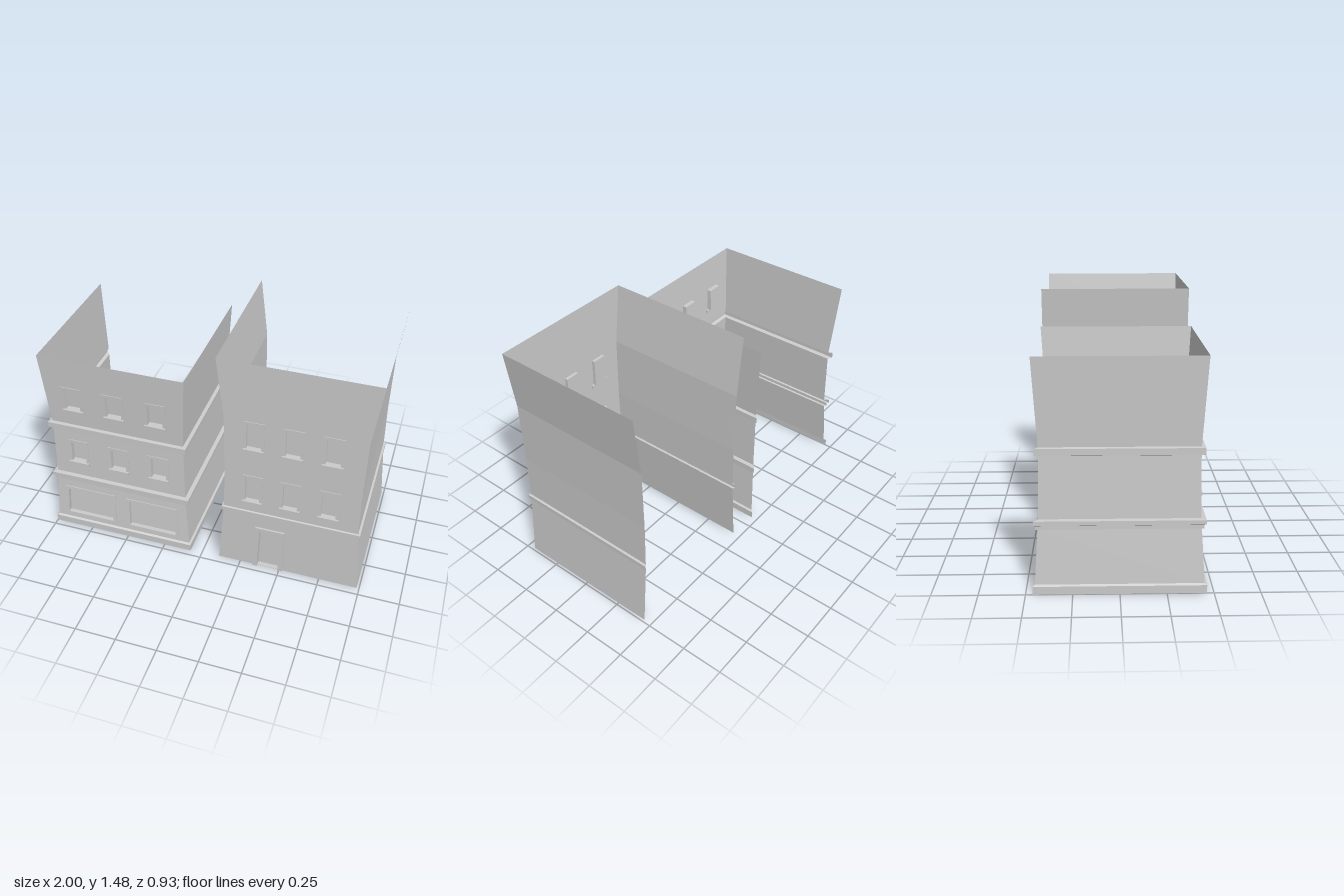
import * as THREE from 'three';

const material = new THREE.MeshStandardMaterial({ color: 0xcccccc, side: THREE.DoubleSide, flatShading: true });

// Straight-line lookup of [halfWidth, halfDepth] in a profile of [y, halfWidth, halfDepth]
function sizeAt(profile, y) {
  let i = 0;
  while (i < profile.length - 2 && y > profile[i + 1][0]) i++;
  const [a, b] = [profile[i], profile[i + 1]];
  const t = (y - a[0]) / (b[0] - a[0]);
  return [a[1] + (b[1] - a[1]) * t, a[2] + (b[2] - a[2]) * t];
}

function polygon(points, Type = THREE.Shape) {
  const p = new Type(points.map(([x, y]) => new THREE.Vector2(x, y)));
  p.closePath();
  return p;
}

const rect = (x0, x1, y0, y1) => [[x0, y0], [x1, y0], [x1, y1], [x0, y1]];

function addMesh(group, name, geometry) {
  const flat = geometry.index ? geometry.toNonIndexed() : geometry;
  flat.computeVertexNormals();
  const mesh = new THREE.Mesh(flat, material);
  mesh.name = name;
  group.add(mesh);
}

// Lean a flat part against the curved front wall
function lean(geometry, profile, yMid) {
  const p = geometry.attributes.position;
  const ref = sizeAt(profile, yMid)[0];
  for (let i = 0; i < p.count; i++) {
    const [w, d] = sizeAt(profile, p.getY(i));
    p.setX(i, p.getX(i) * w / ref);
    p.setZ(i, p.getZ(i) + d);
  }
  return geometry;
}

// Front wall tier by tier with cut openings, plus the two side walls
function addWalls(group, profile, openings) {
  for (let i = 0; i < profile.length - 1; i++) {
    const [y0, w0, d0] = profile[i], [y1, w1, d1] = profile[i + 1];
    const shape = polygon([[-w0, y0], [w0, y0], [w1, y1], [-w1, y1]]);
    for (const o of openings.filter(o => o.y0 >= y0 && o.y1 <= y1)) {
      const ref = sizeAt(profile, (o.y0 + o.y1) / 2)[0];
      const points = rect(o.x0, o.x1, o.y0, o.y1).map(([x, y]) => [x * sizeAt(profile, y)[0] / ref, y]);
      shape.holes.push(polygon(points, THREE.Path));
    }
    const front = new THREE.ShapeGeometry(shape);
    const p = front.attributes.position;
    for (let k = 0; k < p.count; k++) {
      p.setZ(k, d0 + (d1 - d0) * (p.getY(k) - y0) / (y1 - y0));
    }
    addMesh(group, 'frontWall', front);
  }
  for (const side of [-1, 1]) {
    const positions = [], index = [];
    profile.forEach(([y, w, d], i) => {
      positions.push(side * w, y, d, side * w, y, -d);
      if (i === 0) return;
      const a = 2 * i - 2;
      if (side > 0) index.push(a, a + 1, a + 3, a, a + 3, a + 2);
      else index.push(a, a + 3, a + 1, a, a + 2, a + 3);
    });
    const wall = new THREE.BufferGeometry();
    wall.setAttribute('position', new THREE.Float32BufferAttribute(positions, 3));
    wall.setIndex(index);
    addMesh(group, side > 0 ? 'leftWall' : 'rightWall', wall);
  }
}

// Recess with its pane, surrounding frame and optional sill
function addOpening(group, profile, o) {
  const { name, x0, x1, y0, y1, recess, raise, border, sill, fullFrame } = o;
  const yMid = (y0 + y1) / 2, xMid = (x0 + x1) / 2;

  const box = new THREE.BoxGeometry(x1 - x0, y1 - y0, recess);
  const index = Array.from(box.index.array);
  index.splice(24, 6); // open towards the street
  box.setIndex(index);
  box.translate(xMid, yMid, -recess / 2);
  addMesh(group, name + 'Recess', lean(box, profile, yMid));

  const b = border;
  let shape;
  if (fullFrame) {
    shape = polygon(rect(x0 - b, x1 + b, y0 - b, y1 + b));
    shape.holes.push(polygon(rect(x0, x1, y0, y1), THREE.Path));
  } else {
    shape = polygon([[x0 - b, y0], [x0, y0], [x0, y1], [x1, y1], [x1, y0],
      [x1 + b, y0], [x1 + b, y1 + b], [x0 - b, y1 + b]]);
  }
  const frame = new THREE.ExtrudeGeometry(shape, { depth: raise, bevelEnabled: false });
  addMesh(group, name + 'Frame', lean(frame, profile, yMid));

  if (sill) {
    const slab = new THREE.BoxGeometry(x1 - x0 + 0.036, 0.02, 0.028);
    slab.translate(xMid, y0 - 0.01, 0.002);
    addMesh(group, name + 'Sill', lean(slab, profile, yMid));
  }
}

function building(name, x, profile, openings) {
  const group = new THREE.Group();
  group.name = name;
  group.position.x = x;
  addWalls(group, profile, openings);
  openings.forEach(o => addOpening(group, profile, o));
  return group;
}

// Two rows of three windows
function windowRows(rows, centres, width, recess) {
  return rows.flatMap(([y0, y1]) => centres.map(c => ({
    name: 'window', x0: c - width / 2, x1: c + width / 2, y0, y1,
    recess, raise: 0.004, border: 0.018, sill: true,
  })));
}

export function createModel() {
  const model = new THREE.Group();
  model.name = 'townBuildings';

  // Shop: plinth, double cornice, upper cornice, flared top
  const shopProfile = [
    [0, 0.4625], [0.045, 0.4625], [0.052, 0.45], [0.357, 0.43], [0.36, 0.442],
    [0.38, 0.442], [0.385, 0.452], [0.409, 0.452], [0.412, 0.427], [0.755, 0.42],
    [0.763, 0.441], [0.799, 0.441], [0.802, 0.42], [1.28, 0.447],
  ].map(([y, w]) => [y, w, w]);
  const shopFronts = [-0.215, 0.205].map(c => ({
    name: 'shopWindow', x0: c - 0.152, x1: c + 0.152, y0: 0.094, y1: 0.28,
    recess: 0.02, raise: 0.005, border: 0.02, fullFrame: true,
  }));
  model.add(building('shopBuilding', -0.5375, shopProfile, [
    ...shopFronts,
    ...windowRows([[0.52, 0.663], [0.92, 1.064]], [-0.264, -0.001, 0.26], 0.094, 0.028),
  ]));

  // House: single band above the door, tall flared top
  const houseProfile = [
    [0, 0.437, 0.45], [0.41, 0.406, 0.45], [0.413, 0.418, 0.46], [0.44, 0.418, 0.46],
    [0.443, 0.405, 0.45], [0.72, 0.401, 0.45], [1.11, 0.407, 0.45], [1.48, 0.452, 0.45],
  ];
  const door = {
    name: 'door', x0: -0.183, x1: -0.055, y0: 0.002, y1: 0.295,
    recess: 0.028, raise: 0.012, border: 0.028,
  };
  model.add(building('houseBuilding', 0.548, houseProfile, [
    door,
    ...windowRows([[0.524, 0.698], [0.914, 1.084]], [-0.231, -0.005, 0.222], 0.086, 0.02),
  ]));

  return model;
}
